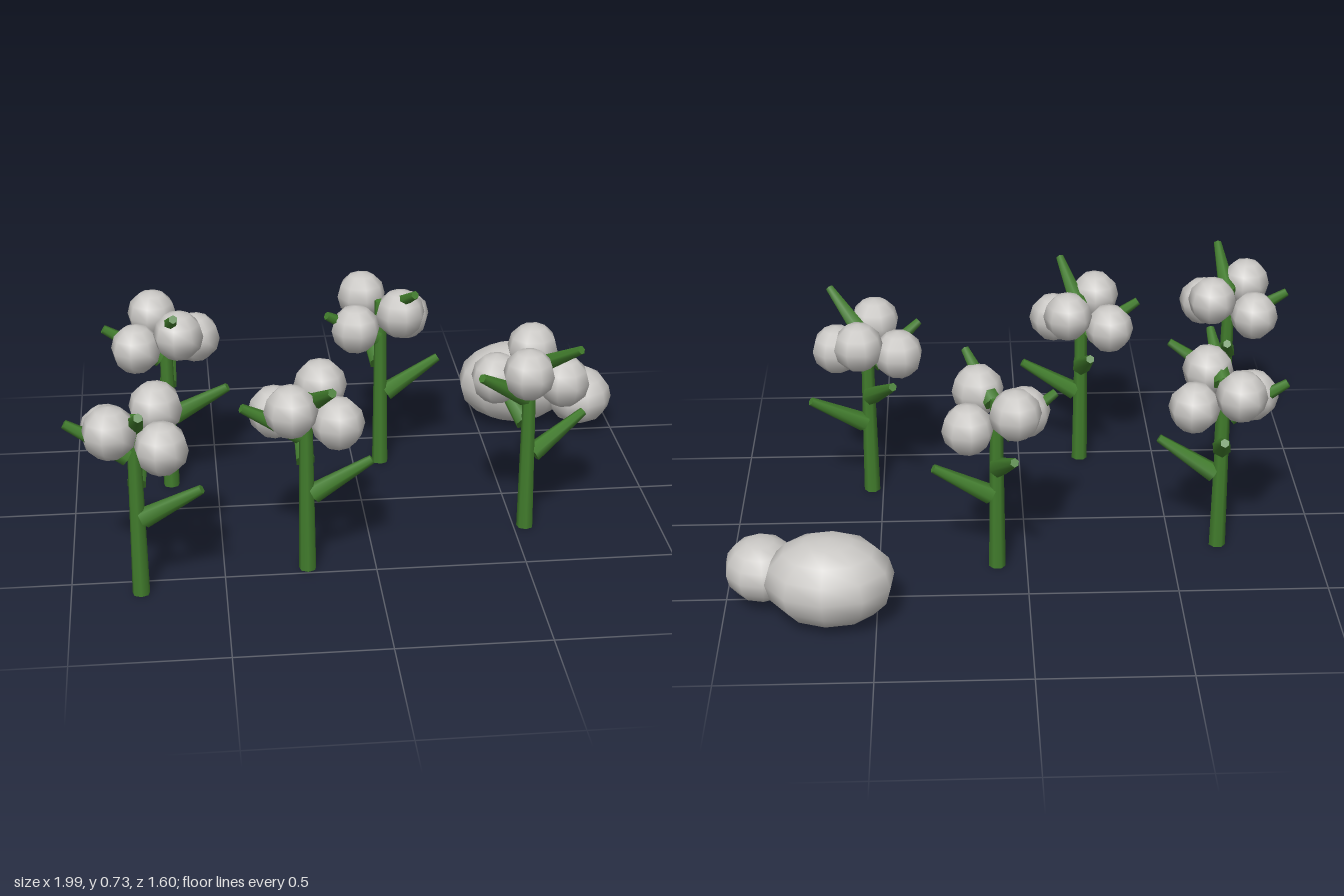
import * as THREE from 'three';

const green = new THREE.MeshStandardMaterial({ color: 0x417c2c });
green.name = 'leaf green';
const grey = new THREE.MeshStandardMaterial({ color: 0xcac8c5 });
grey.name = 'pale grey';

const STEM_HEIGHT = 0.63;
const rad = THREE.MathUtils.degToRad;

// Point at a radius, height and heading (0 degrees = +x, 90 degrees = +z)
const polar = (r, y, deg) => new THREE.Vector3(r * Math.cos(rad(deg)), y, r * Math.sin(rad(deg)));

function part(name, geometry, material) {
  const mesh = new THREE.Mesh(geometry, material);
  mesh.name = name;
  return mesh;
}

// Tapered rod between two points
function rod(name, from, to, r0, r1, sides) {
  const dir = to.clone().sub(from);
  const mesh = part(name, new THREE.CylinderGeometry(r1, r0, dir.length(), sides), green);
  mesh.position.copy(from).add(to).multiplyScalar(0.5);
  mesh.quaternion.setFromUnitVectors(new THREE.Vector3(0, 1, 0), dir.normalize());
  return mesh;
}

function createPlant(x, z, leafAngle, puffAngle) {
  const plant = new THREE.Group();
  plant.name = 'plant';
  plant.position.set(x, 0, z);
  plant.add(rod('stem', new THREE.Vector3(), new THREE.Vector3(0, STEM_HEIGHT, 0), 0.029, 0.021, 7));

  // Four leaves spiralling up the stem
  for (let i = 0; i < 4; i++) {
    const a = leafAngle - i * 96.5;
    const y = 0.275 + i * 0.11;
    plant.add(rod('leaf', polar(0.02, y, a), polar(0.213, y + 0.117, a), 0.034, 0.015, 6));
  }

  // Four puffs, alternating low and high
  for (let i = 0; i < 4; i++) {
    const puff = part('puff', new THREE.SphereGeometry(0.087, 8, 6), grey);
    puff.position.copy(polar(0.112, i % 2 ? 0.618 : 0.55, puffAngle + i * 90));
    puff.rotation.y = -rad(leafAngle);
    plant.add(puff);
  }
  return plant;
}

function createRock(name, centre, halfSize, turn) {
  const geometry = new THREE.SphereGeometry(1, 10, 8).rotateY(Math.PI / 2);
  const rock = part(name, geometry, grey);
  rock.position.set(...centre);
  rock.scale.set(...halfSize);
  rock.rotation.y = turn;
  return rock;
}

export function createModel() {
  const model = new THREE.Group();
  model.name = 'plantPatch';

  // x, z, heading of lowest leaf, heading of first low puff
  const plants = [
    [-0.775, 0.575, 14, 40],
    [-0.663, -0.193, 12, -23],
    [-0.226, 0.465, 1, 29],
    [0.1, -0.308, -8, -32],
    [0.54, 0.245, -19, 13],
  ];
  for (const p of plants) model.add(createPlant(...p));

  model.add(createRock('largeRock', [0.648, 0.152, -0.63], [0.214, 0.15, 0.175], -0.1));
  model.add(createRock('smallRock', [0.875, 0.135, -0.522], [0.122, 0.107, 0.13], 0.1));
  return model;
}
